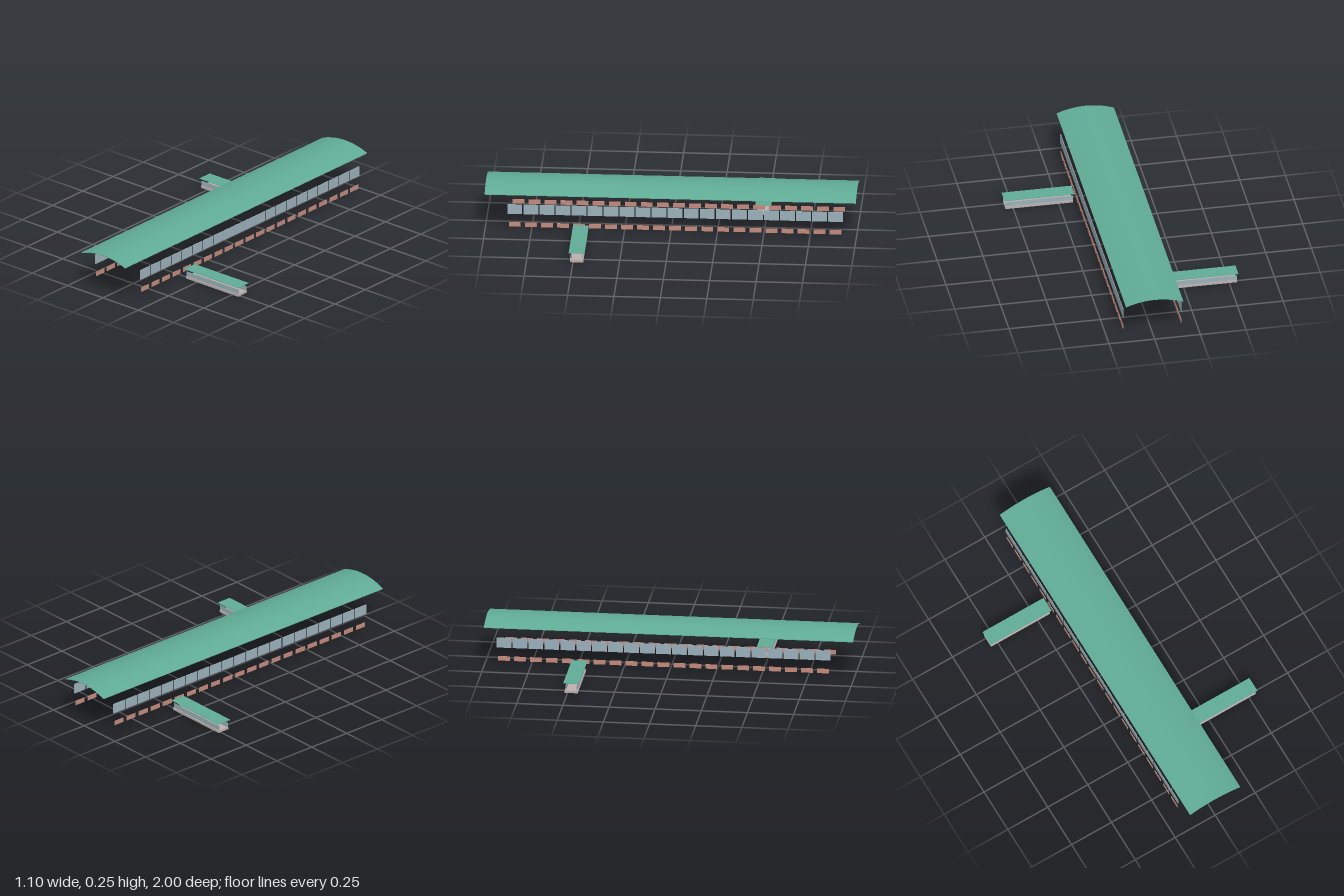
import * as THREE from 'three';

const material = (name, color) => {
  const m = new THREE.MeshStandardMaterial({ color });
  m.name = name;
  return m;
};

export function createModel() {
  const model = new THREE.Group();
  model.name = 'longHall';
  const green = material('copperGreen', 0x60ac96);
  const glass = material('paleGlass', 0x9bb0ba);
  const brick = material('brick', 0xc28a7b);
  const stone = material('warmGreyStone', 0xbbb0ac);

  const box = (parent, name, mat, size, pos) => {
    const mesh = new THREE.Mesh(new THREE.BoxGeometry(...size), mat);
    mesh.name = name;
    mesh.position.set(...pos);
    parent.add(mesh);
  };

  // Shallow arched roof: a thin shell swept along the hall
  const half = 0.157, thick = 0.003, steps = 24;
  const top = [], under = [];
  for (let i = 0; i <= steps; i++) {
    const t = (i / steps) * 2 - 1;
    const y = 0.251 - 0.03 * t * t;
    top.push(new THREE.Vector2(t * half, y));
    under.unshift(new THREE.Vector2(t * half, y - thick));
  }
  const roofGeo = new THREE.ExtrudeGeometry(new THREE.Shape([...top, ...under]), { depth: 2, bevelEnabled: false });
  roofGeo.translate(0, 0, -1);
  const roof = new THREE.Mesh(roofGeo, green);
  roof.name = 'archedRoof';
  model.add(roof);

  // Rows of window panes and brick panels along both sides
  for (const side of [1, -1]) {
    const row = new THREE.Group();
    row.name = side > 0 ? 'leftWall' : 'rightWall';
    for (let i = 0; i < 21; i++) {
      const z = 0.837 - i * 0.0864;
      box(row, 'windowPane', glass, [0.003, 0.056, 0.08], [side * 0.159, 0.139, z]);
      box(row, 'brickPanel', brick, [0.003, 0.025, 0.064], [side * 0.159, 0.05, z]);
    }
    model.add(row);
  }

  // Two low side wings with open ends, on opposite sides
  for (const side of [1, -1]) {
    const wing = new THREE.Group();
    wing.name = side > 0 ? 'leftWing' : 'rightWing';
    box(wing, 'wingBase', stone, [0.37, 0.013, 0.072], [0, 0.0065, 0]);
    for (const s of [1, -1]) {
      box(wing, 'wingGlassWall', glass, [0.37, 0.027, 0.002], [0, 0.0265, s * 0.03]);
    }
    box(wing, 'wingRoof', green, [0.382, 0.003, 0.085], [0, 0.056, 0]);
    wing.position.set(side * 0.358, 0, side * 0.48);
    model.add(wing);
  }
  return model;
}
